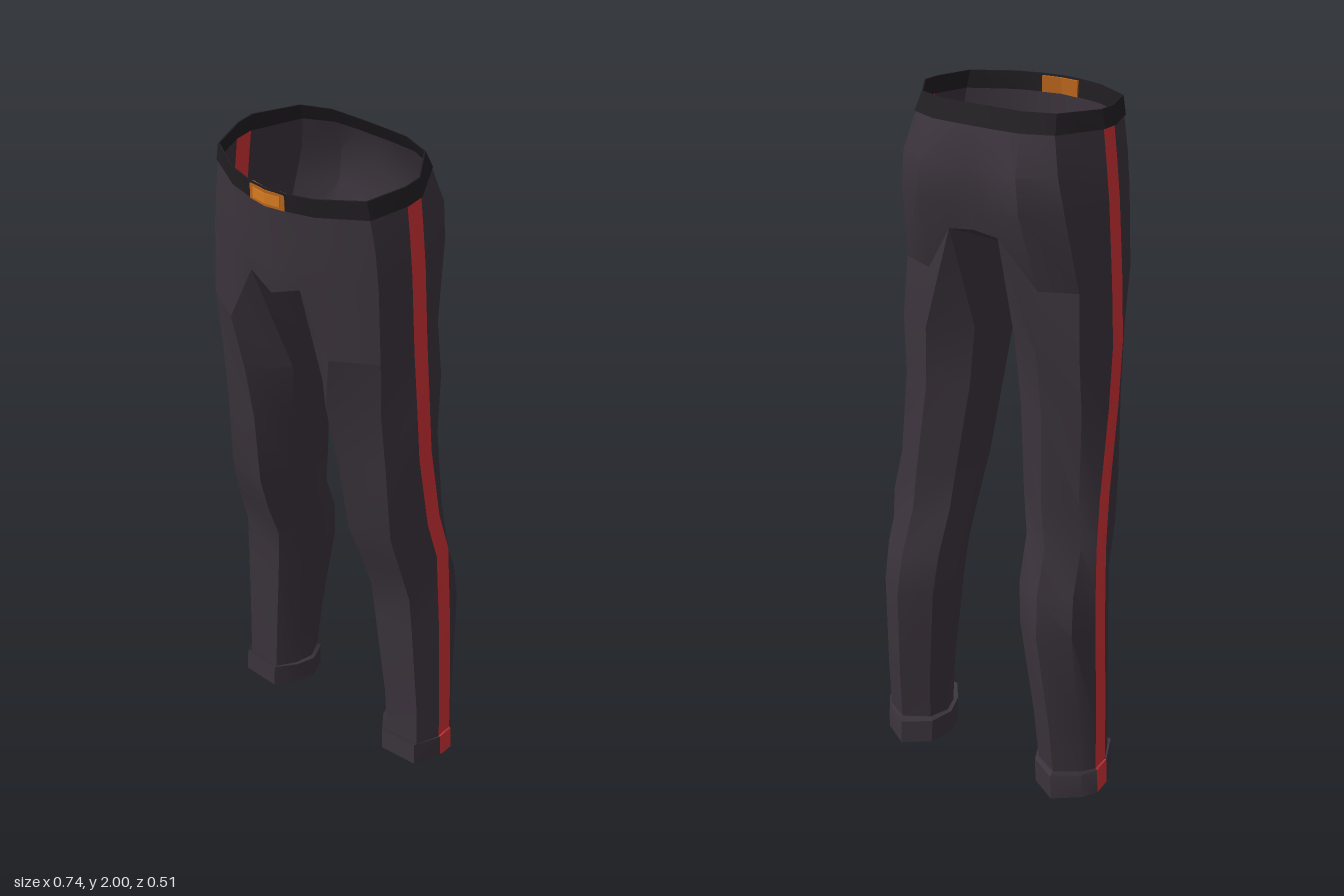
import * as THREE from 'three';
import { toCreasedNormals } from 'three/addons/utils/BufferGeometryUtils.js';

const material = (color) => new THREE.MeshStandardMaterial({ color, side: THREE.DoubleSide });

// Collects faces of the left half and adds each one mirrored to the right half.
class HalfSurface {
  constructor() { this.points = []; }
  tri(a, b, c) {
    this.points.push(...a, ...b, ...c);
    for (const p of [a, c, b]) this.points.push(-p[0], p[1], p[2]);
  }
  quad(a, b, c, d) { this.tri(a, b, c); this.tri(a, c, d); }
  mesh(name, mat) {
    const g = new THREE.BufferGeometry();
    g.setAttribute('position', new THREE.Float32BufferAttribute(this.points, 3));
    const mesh = new THREE.Mesh(toCreasedNormals(g, 0.5), mat);
    mesh.name = name;
    return mesh;
  }
}

// Half rings run from centre front, round the left side, to centre back: [x, z].
// Points 4 and 5 are the two edges of the side stripe.
const ring = (y, xz, tilt = 0) => xz.map(([x, z]) => [x, y - tilt * (z + 0.15), z]);
const waistTop = ring(2, [[0, 0.25], [0.06, 0.243], [0.13, 0.222], [0.235, 0.155], [0.267, 0.045],
  [0.267, -0.01], [0.2, -0.12], [0.12, -0.15], [0.06, -0.152], [0, -0.153]], 0.04);
const waistLow = ring(1.95, [[0, 0.246], [0.06, 0.239], [0.13, 0.22], [0.245, 0.152], [0.276, 0.045],
  [0.276, -0.01], [0.21, -0.14], [0.13, -0.176], [0.06, -0.18], [0, -0.18]], 0.04);
const hip = ring(1.85, [[0, 0.243], [0.07, 0.234], [0.14, 0.219], [0.26, 0.148], [0.287, 0.045],
  [0.287, -0.01], [0.235, -0.165], [0.145, -0.222], [0.07, -0.217], [0, -0.21]]);
const seat = ring(1.75, [[0, 0.241], [0.08, 0.229], [0.15, 0.217], [0.27, 0.146], [0.297, 0.045],
  [0.297, -0.01], [0.25, -0.155], [0.155, -0.225], [0.075, -0.217], [0, -0.207]]);
// Lowest pelvis ring rises towards the crotch at front and back.
const thighTop = [[0, 1.68, 0.238], [0.08, 1.71, 0.222], [0.165, 1.53, 0.213], [0.28, 1.53, 0.145],
  [0.311, 1.53, 0.045], [0.311, 1.53, -0.01], [0.27, 1.53, -0.11], [0.17, 1.53, -0.153],
  [0.075, 1.67, -0.195], [0, 1.68, -0.195]];
const crotch = [0, 1.58, 0];

// Leg cross-section from inner/outer x, front/back z and stripe centre z.
function legRing([y, inner, outer, front, back, stripe], tilt = 0) {
  const low = THREE.MathUtils.clamp((1.36 - y) / 0.7, 0, 1);
  const at = (u, v) => [inner + (outer - inner) * u, y + tilt * v, back + (front - back) * v];
  const edge = (dz) => {
    const z = stripe + dz;
    return [outer, y + tilt * (z - back) / (front - back), z];
  };
  return [at(0.08, 0.74), at(0.38 - 0.1 * low, 1), at(0.84, 0.83 + 0.14 * low), edge(0.027),
    edge(-0.027), at(0.86, 0.13 + 0.07 * low), at(0.5, 0), at(0.12, 0.2), at(0, 0.48)];
}

const legRows = [ // y, inner x, outer x, front z, back z, stripe z
  [1.36, 0.028, 0.321, 0.193, -0.168, 0.012],
  [1.18, 0.05, 0.322, 0.155, -0.156, -0.005],
  [0.93, 0.083, 0.326, 0.121, -0.185, -0.05],
  [0.8, 0.1, 0.338, 0.077, -0.188, -0.083],
  [0.67, 0.108, 0.342, 0.03, -0.238, -0.09],
  [0.55, 0.121, 0.347, 0.022, -0.255, -0.095],
  [0.25, 0.157, 0.358, 0.005, -0.222, -0.1],
  [0.09, 0.168, 0.361, 0.002, -0.207, -0.102],
];
const cuffRows = [
  [0.075, 0.156, 0.366, 0.018, -0.217, -0.102],
  [0, 0.158, 0.37, 0.02, -0.217, -0.103],
];

export function createModel() {
  const group = new THREE.Group();
  const fabric = material(0x3b333c);
  const pelvis = new HalfSurface(), legs = new HalfSurface(), cuffs = new HalfSurface();
  const stripes = new HalfSurface(), belt = new HalfSurface();

  // Joins two rings, sending the stripe column to its own surface.
  function join(target, top, bottom, stripeIndex, closed) {
    const n = top.length;
    for (let j = 0; j < (closed ? n : n - 1); j++) {
      const k = (j + 1) % n;
      (j === stripeIndex ? stripes : target).quad(bottom[j], bottom[k], top[k], top[j]);
    }
  }

  // Pelvis and crotch gusset
  const hips = [waistLow, hip, seat, thighTop];
  for (let i = 0; i < hips.length - 1; i++) join(pelvis, hips[i], hips[i + 1], 4, false);
  pelvis.tri(thighTop[0], crotch, thighTop[1]);
  pelvis.tri(thighTop[9], thighTop[8], crotch);

  // Legs, open at the bottom
  const legRings = [[...thighTop.slice(1, 9), crotch], ...legRows.map((r) => legRing(r))];
  for (let i = 0; i < legRings.length - 1; i++) join(legs, legRings[i], legRings[i + 1], 3, true);

  // Turned cuffs with a small ledge
  const cuffRings = [legRings.at(-1), ...cuffRows.map((r) => legRing(r, 0.025))];
  for (let i = 0; i < cuffRings.length - 1; i++) join(cuffs, cuffRings[i], cuffRings[i + 1], 3, true);

  // Waistband, slightly proud of the fabric
  const proud = (r) => r.map(([x, y, z]) => [x * 1.015, y, z * 1.015]);
  join(belt, waistTop, proud(waistTop), -1, false);
  join(belt, proud(waistTop), proud(waistLow), -1, false);
  join(belt, proud(waistLow), waistLow, -1, false);
  join(belt, waistTop, waistLow, -1, false);

  group.add(pelvis.mesh('pelvis', fabric), legs.mesh('legs', fabric), cuffs.mesh('cuffs', fabric),
    stripes.mesh('sideStripes', material(0xd03236)), belt.mesh('waistband', material(0x211e22)));

  // Buckle: a bent plate with a smaller raised plate
  const buckle = new THREE.Group();
  buckle.name = 'buckle';
  const plate = (name, w, h, z, color) => {
    const bend = w * 0.17;
    const s = new THREE.Shape([[-w, -z + bend], [0, -z], [w, -z + bend], [w, -z + bend + 0.012],
      [0, -z + 0.012], [-w, -z + bend + 0.012]].map(([x, y]) => new THREE.Vector2(x, y)));
    const g = new THREE.ExtrudeGeometry(s, { depth: h, bevelEnabled: false });
    g.translate(0, 0, -h / 2).rotateX(-Math.PI / 2);
    const m = new THREE.Mesh(g, material(color));
    m.name = name;
    m.position.y = 1.957;
    buckle.add(m);
  };
  plate('buckleFrame', 0.055, 0.044, 0.256, 0xb8641c);
  plate('bucklePlate', 0.042, 0.028, 0.258, 0xd87c22);
  group.add(buckle);
  return group;
}
